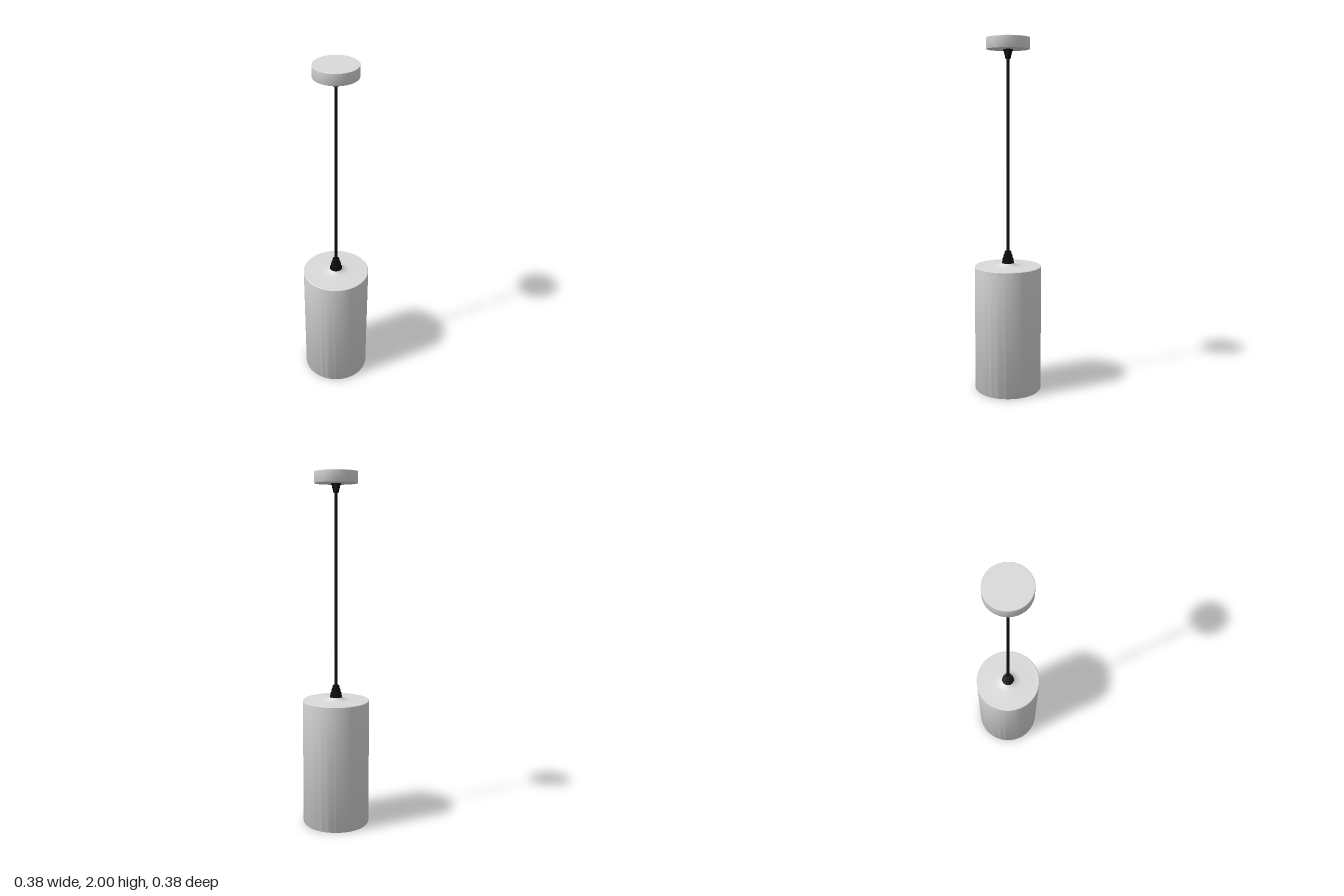
import * as THREE from 'three';
import { toCreasedNormals } from 'three/addons/utils/BufferGeometryUtils.js';

const lightGrey = new THREE.MeshStandardMaterial({ color: 0xdadada });
lightGrey.name = 'light grey';
const black = new THREE.MeshStandardMaterial({ color: 0x0c0c0c });
black.name = 'black';

// Turned part from [radius, height] pairs, listed from bottom to top along the outside
function turned(name, profile, material, sides = 64) {
  const points = profile.map(([r, y]) => new THREE.Vector2(r, y));
  const geometry = toCreasedNormals(new THREE.LatheGeometry(points, sides), 0.6);
  const mesh = new THREE.Mesh(geometry, material);
  mesh.name = name;
  return mesh;
}

// Ribbed strain relief: stacked tapering rings from a wide end to a narrow end
function grip(name, yWide, rWide, yNarrow, rNarrow, ribs) {
  const profile = [[0, yWide]];
  for (let i = 0; i < ribs; i++) {
    const r = THREE.MathUtils.lerp(rWide, rNarrow, i / (ribs - 1));
    const at = (t) => THREE.MathUtils.lerp(yWide, yNarrow, (i + t) / ribs);
    profile.push([r, at(0)], [r * 0.97, at(0.75)], [r * 0.88, at(0.8)], [r * 0.88, at(1)]);
  }
  profile.push([0, yNarrow]);
  if (yNarrow < yWide) profile.reverse();
  return turned(name, profile, black, 32);
}

export function createModel() {
  const lamp = new THREE.Group();
  lamp.name = 'pendantLamp';

  // Cylindrical shade with a shallow recess below and a small flared collar on top
  lamp.add(turned('shade', [
    [0, 0.07], [0.18, 0.07], [0.18, 0.003], [0.183, 0], [0.188, 0], [0.19, 0.003],
    [0.19, 0.722], [0.187, 0.725], [0.08, 0.725], [0.06, 0.728], [0.045, 0.734], [0.037, 0.742], [0, 0.742],
  ], lightGrey, 96));

  // Ceiling canopy
  lamp.add(turned('canopy', [
    [0, 1.936], [0.119, 1.936], [0.12, 1.938], [0.12, 1.998], [0.118, 2], [0, 2],
  ], lightGrey));

  // Cord and its two strain reliefs
  const cord = new THREE.Mesh(new THREE.CylinderGeometry(0.008, 0.008, 1.14, 20), black);
  cord.name = 'cord';
  cord.position.y = 1.35;
  lamp.add(cord);
  lamp.add(grip('lowerGrip', 0.737, 0.036, 0.81, 0.021, 4));
  lamp.add(grip('upperGrip', 1.937, 0.027, 1.885, 0.016, 4));

  return lamp;
}
